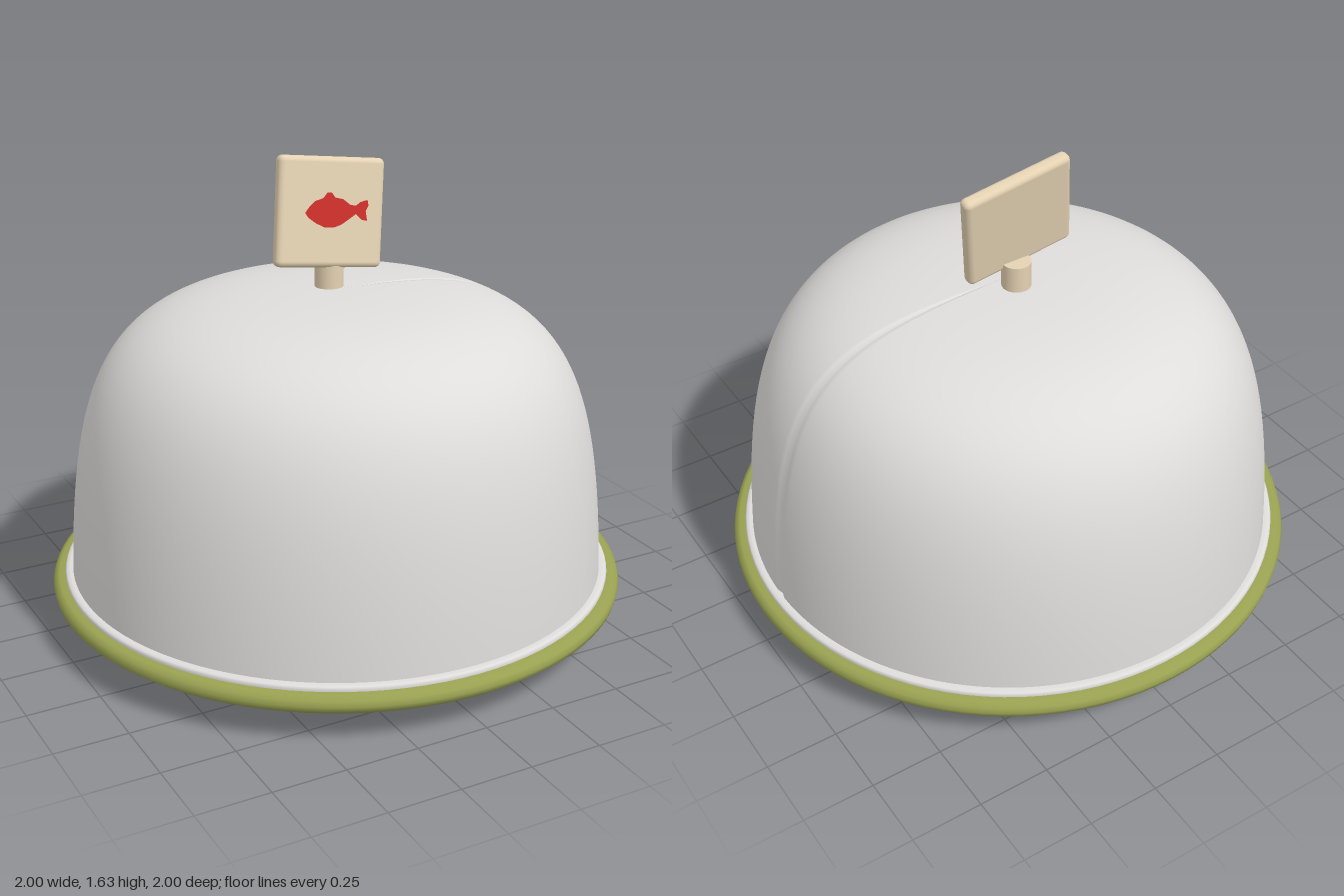
import * as THREE from 'three';
import { mergeVertices } from 'three/addons/utils/BufferGeometryUtils.js';
import { RoundedBoxGeometry } from 'three/addons/geometries/RoundedBoxGeometry.js';

const material = (name, color) => Object.assign(new THREE.MeshStandardMaterial({ color }), { name });
const vectors = (pairs) => pairs.map(([x, y]) => new THREE.Vector2(x, y));

export function createModel() {
  const model = new THREE.Group();
  const silver = material('silver', 0xdfdddb);
  const olive = material('olive', 0x9aa252);
  const wood = material('pale wood', 0xe4d2b2);
  const red = material('red', 0xcf302a);

  const add = (parent, name, geometry, mat) => {
    const mesh = new THREE.Mesh(geometry, mat);
    mesh.name = name;
    parent.add(mesh);
    return mesh;
  };

  // Shallow tray with a rounded lip
  add(model, 'tray', new THREE.LatheGeometry(vectors([
    [0, 0], [0.38, 0.002], [0.76, 0.042], [0.975, 0.108], [0.996, 0.125], [1, 0.142],
    [0.994, 0.16], [0.978, 0.171], [0.94, 0.172], [0, 0.172],
  ]), 96), olive);

  // Thin flange under the dome
  add(model, 'domeRim', new THREE.LatheGeometry(vectors([
    [0.955, 0.165], [0.957, 0.178], [0.952, 0.186], [0.94, 0.188], [0.92, 0.188],
  ]), 96), silver);

  // Dome, with a fine groove running down the +x side
  const profile = new THREE.CubicBezierCurve(...vectors([
    [0.93, 0.18], [0.89, 1.06], [0.72, 1.163], [0, 1.163],
  ])).getPoints(40);
  const dome = new THREE.LatheGeometry(profile, 256);
  const p = dome.attributes.position;
  const n = dome.attributes.normal;
  for (let i = 0; i < p.count; i++) {
    if (p.getX(i) > 0.1 && Math.abs(p.getZ(i)) < 1e-4) {
      p.setX(i, p.getX(i) - 0.007 * n.getX(i));
      p.setY(i, p.getY(i) - 0.007 * n.getY(i));
    }
  }
  dome.deleteAttribute('normal');
  dome.deleteAttribute('uv');
  const smoothDome = mergeVertices(dome, 1e-4);
  smoothDome.computeVertexNormals();
  add(model, 'dome', smoothDome, silver);

  // Short post on top
  add(model, 'post', new THREE.CylinderGeometry(0.05, 0.05, 0.12, 32), wood).position.set(0, 1.196, -0.05);

  // Tilted sign board
  const sign = new THREE.Group();
  sign.name = 'sign';
  sign.position.set(0, 1.419, -0.05);
  const roll = THREE.MathUtils.degToRad(8);
  sign.rotation.set(THREE.MathUtils.degToRad(-10), 0, -roll, 'ZYX');
  add(sign, 'board', new RoundedBoxGeometry(0.4, 0.37, 0.05, 4, 0.02), wood);

  // Fish painted on the front of the board
  const outline = vectors([
    [-0.103, 0.02], [-0.085, 0.038], [-0.06, 0.055], [-0.03, 0.06], [-0.012, 0.077], [0.005, 0.074],
    [0.015, 0.057], [0.045, 0.048], [0.07, 0.026], [0.09, 0.02], [0.11, 0.03], [0.138, 0.034],
    [0.14, 0.015], [0.127, -0.004], [0.13, -0.036], [0.108, -0.03], [0.088, -0.008], [0.06, -0.022],
    [0.03, -0.036], [0, -0.042], [-0.035, -0.037], [-0.065, -0.02], [-0.092, 0.002],
  ]);
  const fish = add(sign, 'fish', new THREE.ShapeGeometry(new THREE.Shape(outline)), red);
  fish.position.set(0, -0.009, 0.027);
  fish.rotation.z = roll;
  model.add(sign);

  return model;
}
